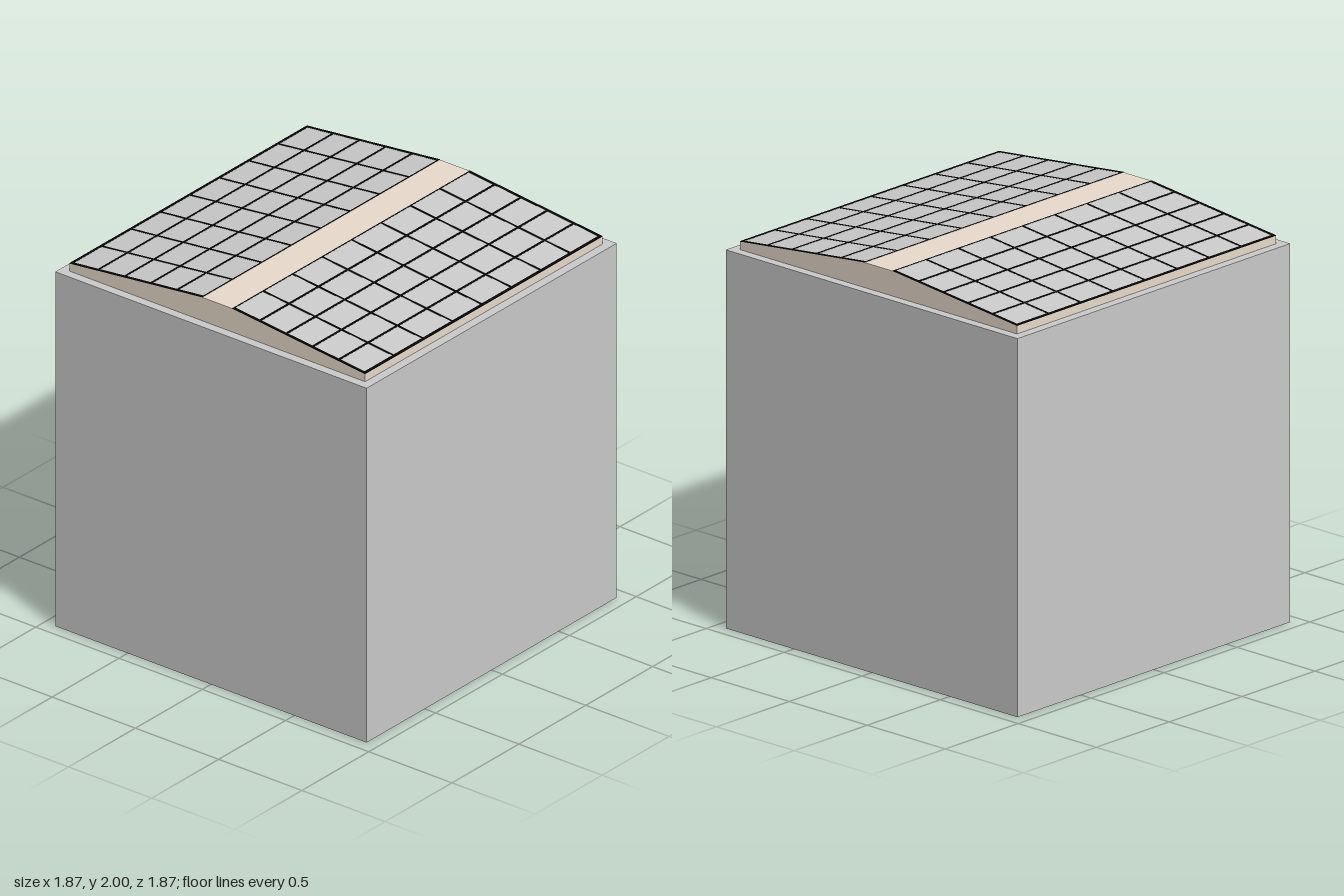
import * as THREE from 'three';

const BODY = 1.87, BODY_H = 1.875;
const EAVE_X = 0.888, EAVE_Y = 1.915, RIDGE_X = 0.09, TOP_Y = 1.999;
const COLS = 5, ROWS = 8;

function mesh(geometry, material, name) {
  const m = new THREE.Mesh(geometry, material);
  m.name = name;
  return m;
}

function rectPath(path, x0, y0, x1, y1) {
  path.moveTo(x0, y0);
  path.lineTo(x1, y0);
  path.lineTo(x1, y1);
  path.lineTo(x0, y1);
  path.closePath();
  return path;
}

export function createModel() {
  const grey = new THREE.MeshStandardMaterial({ color: 0xcccccc });
  const beige = new THREE.MeshStandardMaterial({ color: 0xeadccd });
  const black = new THREE.MeshStandardMaterial({ color: 0x050505 });
  const model = new THREE.Group();

  // Cube body
  const body = mesh(new THREE.BoxGeometry(BODY, BODY_H, BODY), grey, 'body');
  body.position.y = BODY_H / 2;
  model.add(body);

  // Low roof with a flat ridge
  const profile = new THREE.Shape([
    [-EAVE_X, BODY_H], [EAVE_X, BODY_H], [EAVE_X, EAVE_Y],
    [RIDGE_X, TOP_Y], [-RIDGE_X, TOP_Y], [-EAVE_X, EAVE_Y],
  ].map(([x, y]) => new THREE.Vector2(x, y)));
  const roofGeometry = new THREE.ExtrudeGeometry(profile, { depth: 2 * EAVE_X, bevelEnabled: false });
  roofGeometry.translate(0, 0, -EAVE_X);
  model.add(mesh(roofGeometry, beige, 'roof'));

  // Glazing bars: one plate per slope with an opening for each pane
  const length = Math.hypot(EAVE_X - RIDGE_X, TOP_Y - EAVE_Y);
  const angle = Math.atan2(TOP_Y - EAVE_Y, EAVE_X - RIDGE_X);
  const bar = 0.006, edge = 0.016;
  const outline = rectPath(new THREE.Shape(), 0, -EAVE_X, length, EAVE_X);
  const stepX = (length - 0.008) / COLS;
  const stepZ = (2 * EAVE_X - 0.016) / ROWS;
  for (let i = 0; i < COLS; i++) {
    for (let j = 0; j < ROWS; j++) {
      const z = -EAVE_X + 0.008 + j * stepZ;
      outline.holes.push(rectPath(new THREE.Path(),
        i * stepX + bar,
        j === 0 ? -EAVE_X + edge : z + bar,
        i === COLS - 1 ? length - edge : (i + 1) * stepX - bar,
        j === ROWS - 1 ? EAVE_X - edge : z + stepZ - bar));
    }
  }
  const barGeometry = new THREE.ExtrudeGeometry(outline, { depth: 0.002, bevelEnabled: false });
  barGeometry.rotateX(-Math.PI / 2);

  // Glass sheet just under the bars
  const glassGeometry = new THREE.PlaneGeometry(length - 0.01, 2 * EAVE_X - 0.01);
  glassGeometry.rotateX(-Math.PI / 2);
  glassGeometry.translate(length / 2, 0.001, 0);

  for (const [name, turn] of [['left', 0], ['right', Math.PI]]) {
    const side = new THREE.Group();
    side.name = name + 'RoofSide';
    side.rotation.y = turn;
    const slope = new THREE.Group();
    slope.name = name + 'Glazing';
    slope.position.set(RIDGE_X, TOP_Y, 0);
    slope.rotation.z = -angle;
    slope.add(mesh(barGeometry, black, name + 'GlazingBars'));
    slope.add(mesh(glassGeometry, grey, name + 'Panes'));
    side.add(slope);
    model.add(side);
  }
  return model;
}
